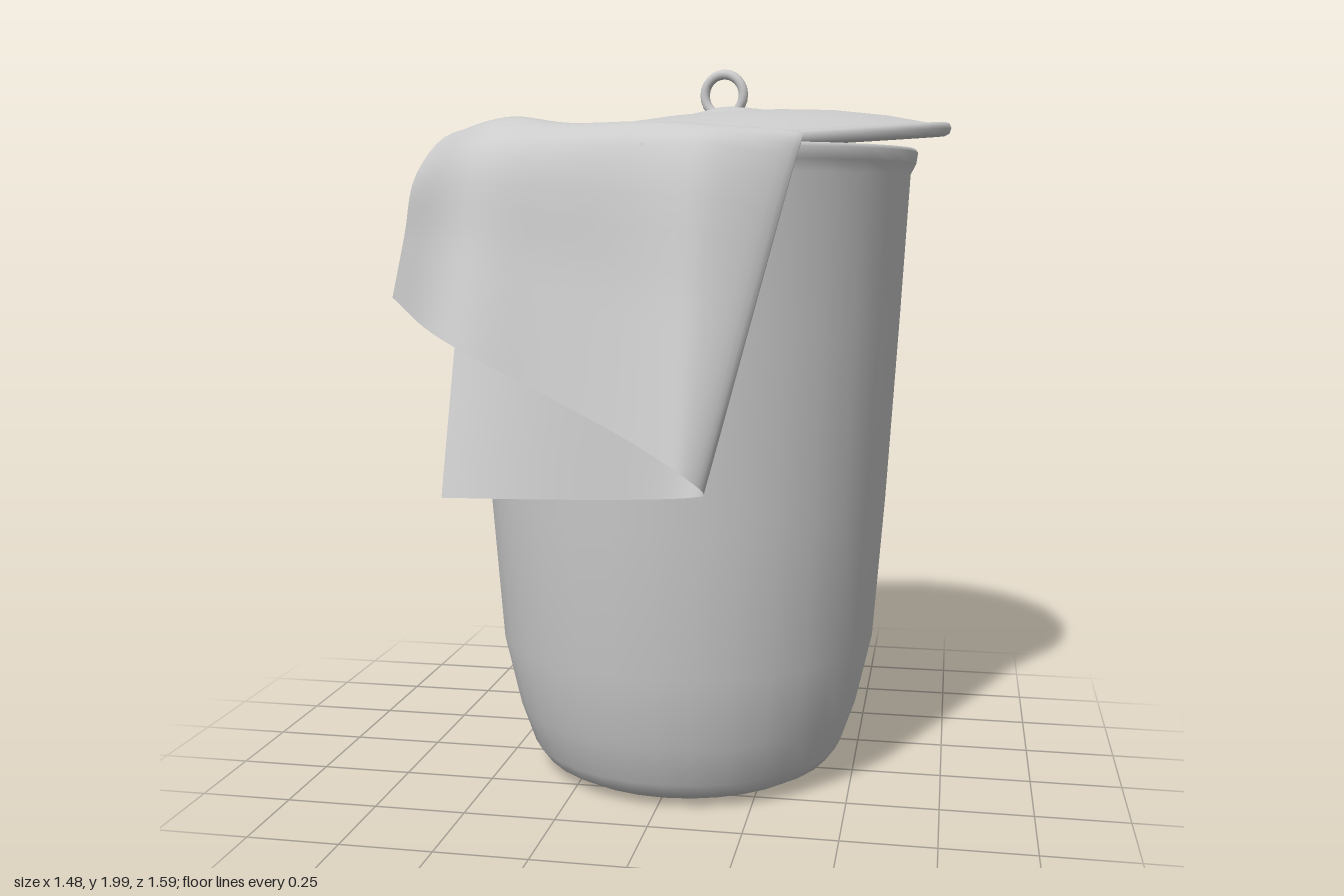
import * as THREE from 'three';

const material = new THREE.MeshStandardMaterial({ color: 0xcccccc, side: THREE.DoubleSide });
const binCentre = new THREE.Vector3(0.012, 0, -0.045);

function addMesh(parent, name, geometry) {
  const mesh = new THREE.Mesh(geometry, material);
  mesh.name = name;
  parent.add(mesh);
  return mesh;
}

const lathe = (profile, sides) =>
  new THREE.LatheGeometry(profile.map(([r, y]) => new THREE.Vector2(r, y)), sides);

const smoothCurve = (points) => new THREE.CatmullRomCurve3(points, false, 'centripetal');

// One fall of cloth: tucked in towards the bin axis, over the crest, straight down to the hem
function clothFall(crest, shoulder, hem) {
  const [c, s, h] = [crest, shoulder, hem].map((p) => new THREE.Vector3(...p));
  const tuck = c.clone().lerp(binCentre, 0.25).setY(1.768);
  return smoothCurve([tuck, c, s, s.clone().lerp(h, 0.5), h]);
}

// Smooth sheet lofted across a row of curves
function sheet(falls, nu, nv) {
  const positions = [], index = [];
  for (let j = 0; j <= nv; j++) {
    const row = smoothCurve(falls.map((fall) => fall.getPoint(j / nv)));
    for (let i = 0; i <= nu; i++) positions.push(...row.getPoint(i / nu).toArray());
  }
  for (let j = 0; j < nv; j++) {
    for (let i = 0; i < nu; i++) {
      const a = j * (nu + 1) + i, b = a + 1, c = a + nu + 1, d = c + 1;
      index.push(a, c, b, b, c, d);
    }
  }
  const geometry = new THREE.BufferGeometry();
  geometry.setAttribute('position', new THREE.Float32BufferAttribute(positions, 3));
  geometry.setIndex(index);
  geometry.computeVertexNormals();
  return geometry;
}

export function createModel() {
  const model = new THREE.Group();
  model.name = 'binWithLidAndCloth';

  // Tapered bin: outer wall, rolled lip, inner wall and floor
  const bin = addMesh(model, 'bin', lathe([
    [0, 0.008], [0.25, 0.01], [0.375, 0.02], [0.42, 0.045], [0.45, 0.085], [0.49, 0.2],
    [0.535, 0.4], [0.565, 0.8], [0.595, 1.3], [0.617, 1.7], [0.632, 1.73], [0.636, 1.76],
    [0.628, 1.77], [0.612, 1.77], [0.6, 1.755], [0.592, 1.7], [0.57, 1.3], [0.515, 0.4],
    [0.47, 0.2], [0.42, 0.08], [0.35, 0.04], [0, 0.03],
  ], 32));
  bin.position.copy(binCentre);

  // Domed lid, slid back and tilted
  const lid = addMesh(model, 'lid', lathe([
    [0, 0.055], [0.3, 0.045], [0.45, 0.022], [0.59, -0.01], [0.605, -0.022], [0.62, -0.016],
    [0.626, 0], [0.62, 0.014], [0.605, 0.018], [0.59, 0.012], [0.45, 0.045], [0.3, 0.069],
    [0.16, 0.08], [0.145, 0.076], [0.13, 0.078], [0.07, 0.088], [0.03, 0.096], [0, 0.097],
  ], 28));
  lid.position.set(0.11, 1.8, -0.17);
  lid.rotation.set(0.05, 0, 0.05);

  // Ring handle
  const ring = addMesh(model, 'ringHandle', new THREE.TorusGeometry(0.058, 0.014, 10, 24));
  ring.position.set(0.095, 1.928, -0.157);
  ring.rotation.y = -0.2;

  // Front layer of the cloth from left edge to the fold, then the back layer returning
  const frontLayer = [
    clothFall([-0.57, 1.81, 0.26], [-0.66, 1.7, 0.31], [-0.74, 1.37, 0.3]),
    clothFall([-0.36, 1.84, 0.42], [-0.42, 1.75, 0.56], [-0.46, 1.29, 0.69]),
    clothFall([-0.2, 1.82, 0.47], [-0.22, 1.76, 0.59], [-0.2, 1.165, 0.71]),
    clothFall([0, 1.82, 0.5], [0, 1.76, 0.59], [0.02, 1.06, 0.745]),
    clothFall([0.18, 1.81, 0.52], [0.18, 1.76, 0.6], [0.14, 1, 0.795]),
    clothFall([0.385, 1.79, 0.48], [0.37, 1.72, 0.51], [0.19, 0.95, 0.76]),
  ];
  const backLayer = [
    clothFall([0.34, 1.78, 0.48], [0.34, 1.71, 0.5], [0.15, 0.925, 0.69]),
    clothFall([0, 1.78, 0.53], [0, 1.72, 0.59], [0, 0.91, 0.665]),
    clothFall([-0.25, 1.78, 0.46], [-0.25, 1.72, 0.55], [-0.25, 0.9, 0.655]),
    clothFall([-0.42, 1.78, 0.33], [-0.48, 1.72, 0.4], [-0.49, 0.895, 0.65]),
  ];
  addMesh(model, 'drapedCloth', sheet([...frontLayer, ...backLayer], 60, 20));

  return model;
}
